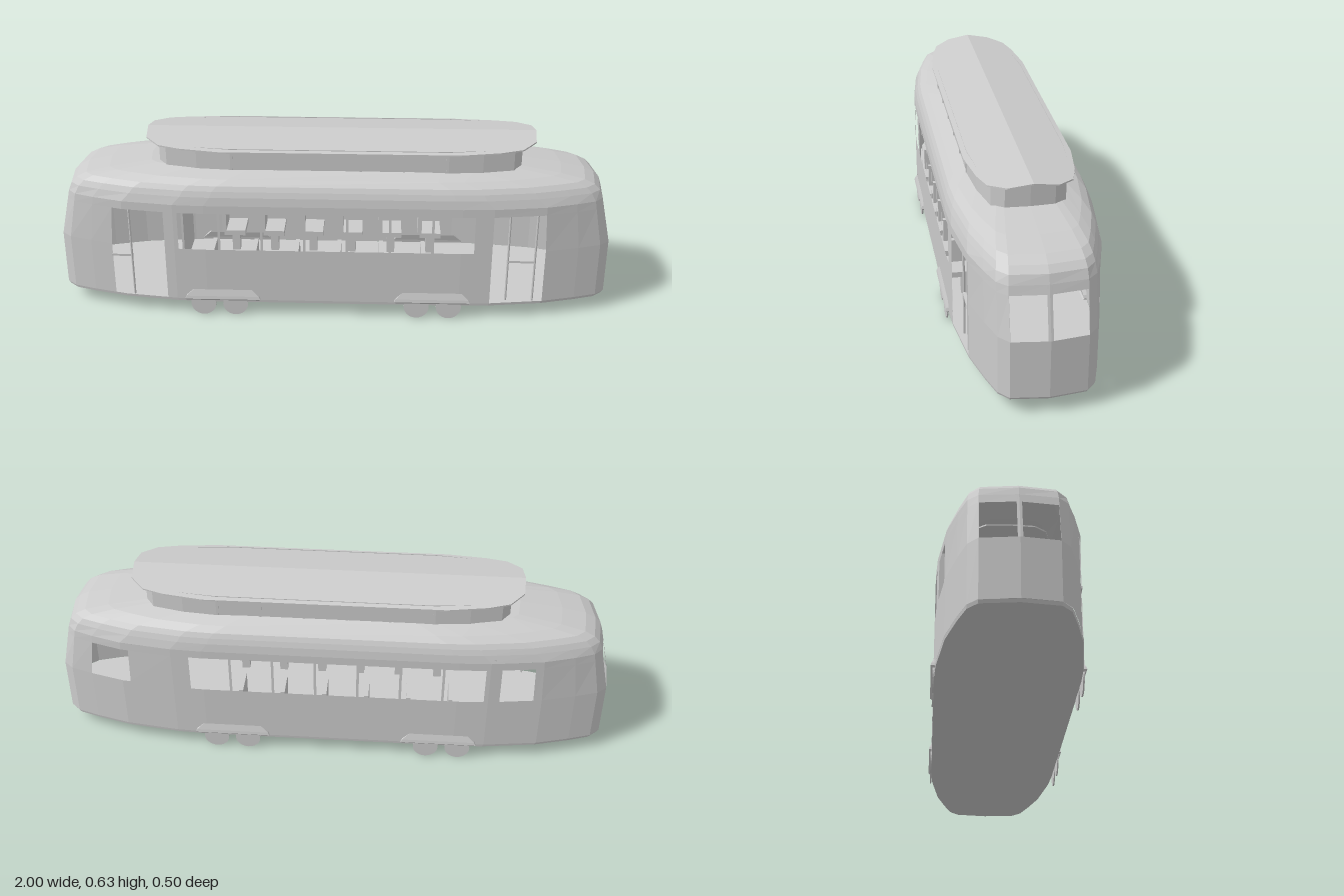
import * as THREE from 'three';

const material = new THREE.MeshStandardMaterial({ color: 0xcccccc, flatShading: true, side: THREE.DoubleSide });

// Quarter outlines, from the nose [x, z] to the start of the straight side
const BODY = [[1, 0], [0.985, 0.12], [0.95, 0.152], [0.87, 0.178], [0.75, 0.21], [0.56, 0.235], [0.45, 0.24]];
const CLERESTORY = [[0.645, 0], [0.64, 0.08], [0.61, 0.12], [0.5, 0.147], [0.38, 0.16]];
const CANOPY = [[0.692, 0], [0.685, 0.08], [0.635, 0.135], [0.56, 0.157], [0.42, 0.177]];

// Mirror a quarter outline into a closed ring: front side, +x end, back side, -x end
function ringOf(q, cx = 0) {
  const rev = [...q].reverse();
  return [
    ...q.map(([x, z]) => [-x, z]), ...rev.map(([x, z]) => [x, z]),
    ...q.slice(1).map(([x, z]) => [x, -z]), ...rev.slice(0, -1).map(([x, z]) => [-x, -z]),
  ].map(([x, z]) => [x + cx, z]);
}

// Skin a stack of closed rings; cells for which open(i, j) is true stay empty
function loft(rings, open = () => false) {
  const pos = [];
  for (let j = 0; j < rings.length - 1; j++) {
    const lo = rings[j], hi = rings[j + 1];
    for (let i = 0; i < lo.length; i++) {
      if (open(i, j)) continue;
      const k = (i + 1) % lo.length;
      pos.push(...lo[i], ...lo[k], ...hi[k], ...lo[i], ...hi[k], ...hi[i]);
    }
  }
  const g = new THREE.BufferGeometry();
  g.setAttribute('position', new THREE.Float32BufferAttribute(pos, 3));
  g.computeVertexNormals();
  return g;
}

// Openings: side, from, to (x on the long sides, z on the ends), bottom
const OPENINGS = [['front', -0.79, -0.595, 0.06], ['front', 0.56, 0.75, 0.06],
  ['back', -0.72, -0.6, 0.26], ['back', 0.72, 0.87, 0.26]];
for (let i = 0; i < 7; i++) {
  const x = -0.545 + i * 0.15;
  for (const s of ['front', 'back']) OPENINGS.push([s, x, x + 0.141, 0.26]);
}
for (const s of ['right', 'left']) OPENINGS.push([s, 0.008, 0.119, 0.26], [s, -0.119, -0.008, 0.26]);

const sideOf = (a, b) => Math.max(Math.abs(a[1]), Math.abs(b[1])) < 0.121
  ? (a[0] > 0 ? 'right' : 'left') : (a[1] > 0 ? 'front' : 'back');

// Add a column to the outline wherever an opening begins or ends
function splitRing(ring) {
  return ring.flatMap((a, i) => {
    const b = ring[(i + 1) % ring.length];
    const side = sideOf(a, b);
    const axis = side === 'right' || side === 'left' ? 1 : 0;
    const cuts = OPENINGS.filter(o => o[0] === side).flatMap(o => [o[1], o[2]])
      .map(v => (v - a[axis]) / (b[axis] - a[axis])).filter(t => t > 1e-4 && t < 0.9999).sort((p, q) => p - q);
    return [a, ...cuts.map(t => [a[0] + (b[0] - a[0]) * t, a[1] + (b[1] - a[1]) * t])];
  });
}

// The ends lean inwards above the window sill
function lean([x, z], y) {
  const d = y <= 0.26 ? 0 : (y - 0.26) * 0.235;
  const w = Math.max(0, (Math.abs(x) - 0.55) / 0.45) ** 2;
  return [x - Math.sign(x) * d * w, y, z];
}

export function createModel() {
  const tram = new THREE.Group();
  const add = (name, geometry, x = 0, y = 0, z = 0) => {
    const m = new THREE.Mesh(geometry, material);
    m.name = name;
    m.position.set(x, y, z);
    tram.add(m);
    return m;
  };
  const box = (name, w, h, d, x, y, z) => add(name, new THREE.BoxGeometry(w, h, d), x, y, z);

  // Walls with door and window openings
  const ring = splitRing(ringOf(BODY));
  const rows = [0.06, 0.26, 0.4, 0.43];
  add('walls', loft(rows.map(y => ring.map(p => lean(p, y))), (i, j) => {
    const a = ring[i], b = ring[(i + 1) % ring.length];
    const side = sideOf(a, b);
    const mid = side === 'right' || side === 'left' ? (a[1] + b[1]) / 2 : (a[0] + b[0]) / 2;
    return j < 2 && OPENINGS.some(o => o[0] === side && mid > o[1] && mid < o[2] && rows[j] >= o[3] - 1e-6);
  }));

  // Rounded roof
  const plain = ringOf(BODY);
  const roofSteps = [[0.46, 0.95, 0.982], [0.48, 0.93, 0.955], [0.497, 0.895, 0.92],
    [0.515, 0.81, 0.84], [0.535, 0.66, 0.667], [0.536, 0, 0]];
  add('roof', loft([
    plain.map(p => lean(p, 0.43)),
    ...roofSteps.map(([y, sx, sz]) => plain.map(([x, z]) => [x * sx, y, z * sz])),
  ]));

  // Floor slab
  const flat = (s, y) => plain.map(([x, z]) => [x * s, y, z * s]);
  add('floor', loft([flat(0, 0.05), flat(0.993, 0.05), flat(0.998, 0.06), flat(0, 0.06)]));

  // Raised clerestory with slim mullions
  const clere = ringOf(CLERESTORY, 0.02);
  add('clerestory', loft([0.53, 0.612].map(y => clere.map(([x, z]) => [x, y, z]))));
  for (let i = 0; i < 6; i++) {
    for (const s of [1, -1]) box('clerestoryMullion', 0.008, 0.068, 0.006, -0.355 + i * 0.15, 0.569, s * 0.16);
  }

  // Ridged canopy that overhangs the clerestory
  const canopy = ringOf(CANOPY);
  const layer = (s, drop) => canopy.map(([x, z]) => [0.022 + x * s, 0.635 - 0.16 * Math.abs(z * s) - drop, z * s]);
  add('canopy', loft([layer(0, 0.017), layer(0.9, 0.015), layer(1, 0.005), layer(1, 0), layer(0, 0)]));

  // Wheels and the skirts above them
  const wheel = new THREE.CylinderGeometry(0.045, 0.045, 0.005, 24).rotateX(Math.PI / 2);
  const skirt = (s, y, z, side) => [[-s, z - 0.02], [s, z - 0.02], [s, z], [-s, z]].map(([x, d]) => [x, y, d * side]);
  for (const side of [1, -1]) {
    for (const x of [-0.465, -0.35, 0.3, 0.415]) add('wheel', wheel, x, 0.045, side * 0.24);
    for (const x of [-0.395, 0.355]) {
      add('wheelSkirt', loft([skirt(0.13, 0.058, 0.243, side), skirt(0.135, 0.065, 0.249, side),
        skirt(0.13, 0.076, 0.247, side), skirt(0.105, 0.1, 0.24, side)]), x);
    }
  }

  // Door poles and handrails
  const pole = new THREE.CylinderGeometry(0.004, 0.004, 0.36, 8);
  for (const x of [-0.72, 0.62, 0.715]) add('doorPole', pole, x, 0.24, 0.205);
  box('doorRail', 0.075, 0.008, 0.008, -0.755, 0.215, 0.2);
  box('doorRail', 0.095, 0.008, 0.008, 0.667, 0.215, 0.205);

  // Cab partition and two rows of seats
  box('partition', 0.008, 0.39, 0.225, -0.572, 0.25, -0.118);
  for (let i = 0; i < 6; i++) {
    for (const s of [1, -1]) {
      box('seat', 0.08, 0.02, 0.11, -0.39 + i * 0.15, 0.15, s * 0.17);
      box('seatBack', 0.015, 0.09, 0.1, -0.43 + i * 0.15, 0.2, s * 0.165);
      box('seatLeg', 0.03, 0.085, 0.03, -0.39 + i * 0.15, 0.1, s * 0.165);
    }
  }

  return tram;
}
